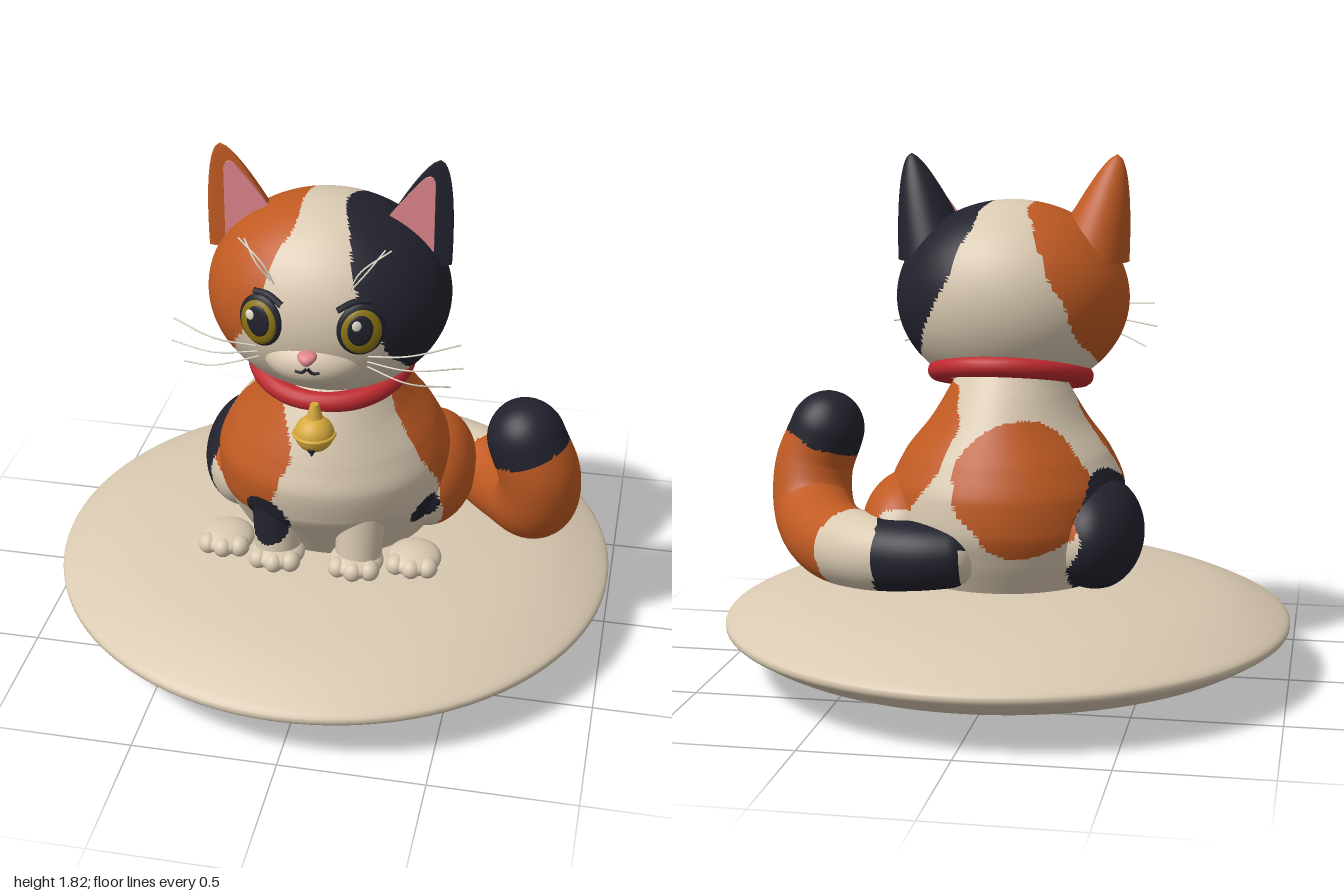
import * as THREE from 'three';
import { mergeVertices } from 'three/addons/utils/BufferGeometryUtils.js';

const V = (x, y, z) => new THREE.Vector3(x, y, z);
const material = (name, color) => {
  const m = new THREE.MeshStandardMaterial({ color });
  m.name = name;
  return m;
};

export function createModel() {
  const cream = material('cream', 0xd9c9b1), orange = material('orange', 0xc05a22);
  const black = material('black', 0x22222e), red = material('red', 0xbf2a30);
  const pink = material('pink', 0xe0868c), gold = material('gold', 0xd8aa3c);
  const iris = material('iris', 0x8a7412), white = material('white', 0xf2ecdc);
  const fur = [cream, orange, black];
  const cat = new THREE.Group();
  cat.name = 'catOnCushion';

  const add = (name, geo, mat, parent = cat) => {
    const m = new THREE.Mesh(geo, mat);
    m.name = name;
    parent.add(m);
    return m;
  };
  // Ellipsoid with centre and radii
  const ball = (c, r, w = 28, h = 18) =>
    new THREE.SphereGeometry(1, w, h).scale(...r).translate(...c);
  const tube = (pts, r, n = 16) =>
    new THREE.TubeGeometry(new THREE.CatmullRomCurve3(pts), n, r, 6);
  // Move every vertex by a rule, then weld and smooth
  const mould = (geo, rule) => {
    const p = geo.attributes.position, v = V(0, 0, 0);
    for (let i = 0; i < p.count; i++) {
      v.fromBufferAttribute(p, i);
      rule(v, i);
      p.setXYZ(i, v.x, v.y, v.z);
    }
    geo.deleteAttribute('uv');
    geo.deleteAttribute('normal');
    const g = mergeVertices(geo, 1e-5);
    g.computeVertexNormals();
    return g;
  };
  // Sort faces into fur-colour groups by the position of their centre
  const paint = (geo, rule) => {
    const p = geo.attributes.position, idx = geo.index.array, sets = [[], [], []];
    const c = V(0, 0, 0), q = V(0, 0, 0);
    for (let i = 0; i < idx.length; i += 3) {
      c.set(0, 0, 0);
      for (let k = 0; k < 3; k++) c.add(q.fromBufferAttribute(p, idx[i + k]));
      sets[rule(c.divideScalar(3))].push(idx[i], idx[i + 1], idx[i + 2]);
    }
    geo.clearGroups();
    geo.setIndex(sets.flat());
    let start = 0;
    sets.forEach((s, k) => {
      if (s.length) geo.addGroup(start, s.length, k);
      start += s.length;
    });
    return geo;
  };
  const wobble = p => Math.sin(17 * p.x + 23 * p.y) * Math.sin(19 * p.z + 11 * p.y);

  // Cushion
  const rim = [[0, 0], [0.36, 0], [0.6, 0.03], [0.85, 0.1], [0.97, 0.162], [1, 0.192],
    [0.97, 0.225], [0.8, 0.295], [0.6, 0.335], [0.35, 0.362], [0, 0.366]];
  const rimCurve = new THREE.SplineCurve(rim.map(([x, y]) => new THREE.Vector2(x, y)));
  const rimPts = rimCurve.getPoints(40).map(p =>
    new THREE.Vector2(Math.min(1, Math.max(0, p.x)), Math.max(0, p.y)));
  add('cushion', new THREE.LatheGeometry(rimPts, 96), cream);

  // Coat patches on the body: centre, radius, fur index (later ones win)
  const patches = [
    [-0.34, 0.8, 0.28, 0.28, 1], [0.33, 0.8, -0.08, 0.29, 1], [-0.12, 0.73, -0.36, 0.24, 1],
    [0.5, 0.54, -0.1, 0.25, 1], [-0.48, 0.52, -0.16, 0.27, 2],
    [-0.18, 0.545, 0.4, 0.1, 2], [0.36, 0.53, 0.19, 0.065, 2],
  ];
  const coat = p => {
    let k = 0;
    for (const [x, y, z, r, f] of patches)
      if (Math.hypot(p.x - x, p.y - y, p.z - z) < r * (1 + 0.05 * wobble(p))) k = f;
    return k;
  };

  // Body: evenly spaced sections of front depth, back depth and half width
  const sections = new THREE.CatmullRomCurve3([
    V(0.28, -0.36, 0.34), V(0.35, -0.41, 0.39), V(0.42, -0.44, 0.415), V(0.445, -0.43, 0.41),
    V(0.42, -0.38, 0.36), V(0.375, -0.31, 0.275), V(0.31, -0.24, 0.21), V(0.2, -0.15, 0.15)]);
  const body = mould(new THREE.CylinderGeometry(1, 1, 1, 128, 90, true), v => {
    const t = v.y + 0.5, s = sections.getPoint(t);
    v.set(v.x * s.z, 0.36 + 0.76 * t, (s.x + s.y) / 2 + v.z * (s.x - s.y) / 2);
  });
  add('body', paint(body, coat), fur);

  // Legs and paws
  for (const s of [-1, 1]) {
    add('haunch', paint(ball([s * 0.33, 0.53, -0.1], [0.165, 0.195, 0.26], 72, 52), coat), fur);
    const leg = mould(new THREE.CylinderGeometry(0.095, 0.078, 0.27, 48, 30, true), v => {
      v.set(v.x + s * 0.145, v.y + 0.505, v.z + 0.305 - v.y * 0.15);
    });
    add('frontLeg', paint(leg, coat), fur);
    for (const [name, x, z] of [['frontPaw', 0.14, 0.335], ['hindPaw', 0.335, 0.28]]) {
      add(name, ball([s * x, 0.39, z], [0.095, 0.045, 0.1]), cream);
      for (const k of [-1, 0, 1])
        add('toe', ball([s * x + k * 0.056, 0.388, z + 0.07 - Math.abs(k) * 0.015],
          [0.035, 0.036, 0.04], 20, 14), cream);
    }
  }

  // Tail: tube with swelling radius and rounded ends
  const tailCurve = new THREE.CatmullRomCurve3([V(0.04, 0.49, -0.35), V(0.24, 0.48, -0.36),
    V(0.45, 0.47, -0.28), V(0.62, 0.475, -0.12), V(0.725, 0.54, 0.05), V(0.74, 0.68, 0.11),
    V(0.69, 0.82, 0.115), V(0.645, 0.955, 0.1)]);
  const rings = 110, sides = 44;
  const tail = mould(new THREE.TubeGeometry(tailCurve, rings, 1, sides), (v, i) => {
    const t = Math.floor(i / (sides + 1)) / rings, c = tailCurve.getPointAt(t);
    const swell = 0.1 + 0.045 * Math.sin(Math.PI * Math.min(1, t * 0.8));
    const cap = e => Math.sqrt(Math.max(0, 1 - (1 - Math.min(1, e)) ** 2));
    v.sub(c).multiplyScalar(swell * cap(t / 0.07) * cap((1 - t) / 0.1)).add(c);
  });
  add('tail', paint(tail, p => {
    const w = 0.008 * wobble(p);
    if (p.y > 0.77 + w + (p.x - 0.68) * 0.4) return 2;
    if (0.64 * p.x + 0.8 * p.z > 0.147 + w) return 1;
    return p.x > 0.09 + w && p.x < 0.39 + w ? 2 : 0;
  }), fur);

  // Head, patched on both sides of a pale blaze
  const headC = V(0, 1.32, 0.1), headR = V(0.412, 0.342, 0.35);
  const headZ = (x, y) => headC.z + headR.z * Math.sqrt(Math.max(0,
    1 - (x / headR.x) ** 2 - ((y - headC.y) / headR.y) ** 2));
  const head = ball(headC.toArray(), headR.toArray(), 132, 96);
  add('head', paint(head, p => {
    const u = p.clone().sub(headC).divide(headR);
    const edge = Math.abs(u.x) + 0.36 * u.y + 0.025 * wobble(p);
    return edge < 0.53 ? 0 : u.x < 0 ? 1 : 2;
  }), fur);
  add('muzzle', ball([0, 1.2, 0.325], [0.18, 0.1, 0.15], 40, 28), cream);
  add('nose', mould(new THREE.SphereGeometry(1, 24, 16), v => {
    v.set(v.x * 0.03 * (1 + 0.45 * v.y), 1.25 + v.y * 0.024, 0.472 + v.z * 0.035);
  }), pink);

  for (const s of [-1, 1]) {
    const coatSide = s < 0 ? orange : black;
    // Ear: flat in front, rounded behind
    const ear = mould(new THREE.CylinderGeometry(1, 1, 1, 48, 28, true), v => {
      const t = v.y + 0.5, w = 0.145 * Math.pow(1 - t, 0.6), d = 0.17 * Math.pow(1 - t, 0.75);
      v.set(s * 0.265 + s * 0.1 * t + v.x * w, 1.45 + 0.37 * t,
        0.11 + v.z * (v.z > 0 ? 0.012 * Math.sqrt(1 - t) : d));
    });
    add('ear', ear, coatSide);
    const inner = new THREE.Shape();
    inner.moveTo(s * 0.352, 1.5);
    inner.lineTo(s * 0.352, 1.74);
    inner.quadraticCurveTo(s * 0.345, 1.775, s * 0.315, 1.755);
    inner.quadraticCurveTo(s * 0.24, 1.67, s * 0.17, 1.57);
    const innerGeo = new THREE.ExtrudeGeometry(inner, { depth: 0.009, bevelEnabled: false });
    add('innerEar', innerGeo.translate(0, 0, 0.117), pink);

    // Eye: stacked shallow domes facing outward from the head
    const eye = new THREE.Group();
    eye.name = 'eye';
    eye.position.set(s * 0.165, 1.345, headZ(0.165, 1.345) - 0.004);
    eye.rotation.set(-0.05, s * 0.36, 0);
    cat.add(eye);
    add('eyeRim', ball([0, 0, 0], [0.08, 0.09, 0.022]), black, eye);
    add('iris', ball([0, -0.003, 0.012], [0.067, 0.077, 0.02]), iris, eye);
    add('pupil', ball([-s * 0.006, 0.006, 0.026], [0.043, 0.054, 0.009]), black, eye);
    add('eyeGlint', ball([-0.02, 0.026, 0.033], [0.016, 0.018, 0.005], 16, 12), white, eye);

    // Brow, mouth and whiskers
    const brow = [[0.19, 1.437], [0.14, 1.437], [0.09, 1.412]];
    add('brow', tube(brow.map(([x, y]) => V(s * x, y, headZ(x, y) + 0.004)), 0.012), black);
    add('mouth', tube([V(0, 1.214, 0.475), V(s * 0.017, 1.199, 0.474), V(s * 0.04, 1.199, 0.468)], 0.006), black);
    for (const [y0, y1, x1] of [[1.235, 1.28, 0.48], [1.215, 1.195, 0.49], [1.195, 1.12, 0.45]])
      add('whisker', tube([V(s * 0.17, y0, headZ(0.17, y0) - 0.01),
        V(s * 0.32, (y0 + y1) / 2 + 0.006, 0.42), V(s * x1, y1, 0.34)], 0.003), white);
    for (const k of [0, 1])
      add('browWhisker', tube([V(s * (0.12 + k * 0.015), 1.46 + k * 0.02, headZ(0.13, 1.47)),
        V(s * (0.16 + k * 0.02), 1.54, 0.4), V(s * (0.25 - k * 0.02), 1.6, 0.35)], 0.003), white);
  }

  // Collar and bell
  const collar = add('collar', new THREE.TorusGeometry(0.257, 0.036, 16, 64).rotateX(Math.PI / 2), red);
  collar.position.set(0, 1.053, 0.055);
  collar.rotation.x = 0.235;
  const bell = new THREE.Group();
  bell.name = 'bell';
  bell.position.set(0, 0.908, 0.368);
  cat.add(bell);
  add('bellBody', ball([0, 0, 0], [0.068, 0.064, 0.068]), gold, bell);
  add('bellBand', new THREE.TorusGeometry(0.068, 0.007, 10, 40).rotateX(Math.PI / 2), gold, bell);
  add('bellStem', new THREE.CylinderGeometry(0.014, 0.03, 0.06, 20).translate(0, 0.08, -0.005), gold, bell);
  add('bellHole', ball([0, -0.038, 0.048], [0.014, 0.014, 0.014], 16, 12), black, bell);
  add('bellSlit', ball([0, -0.052, 0.025], [0.006, 0.015, 0.035], 16, 12), black, bell);

  return cat;
}
